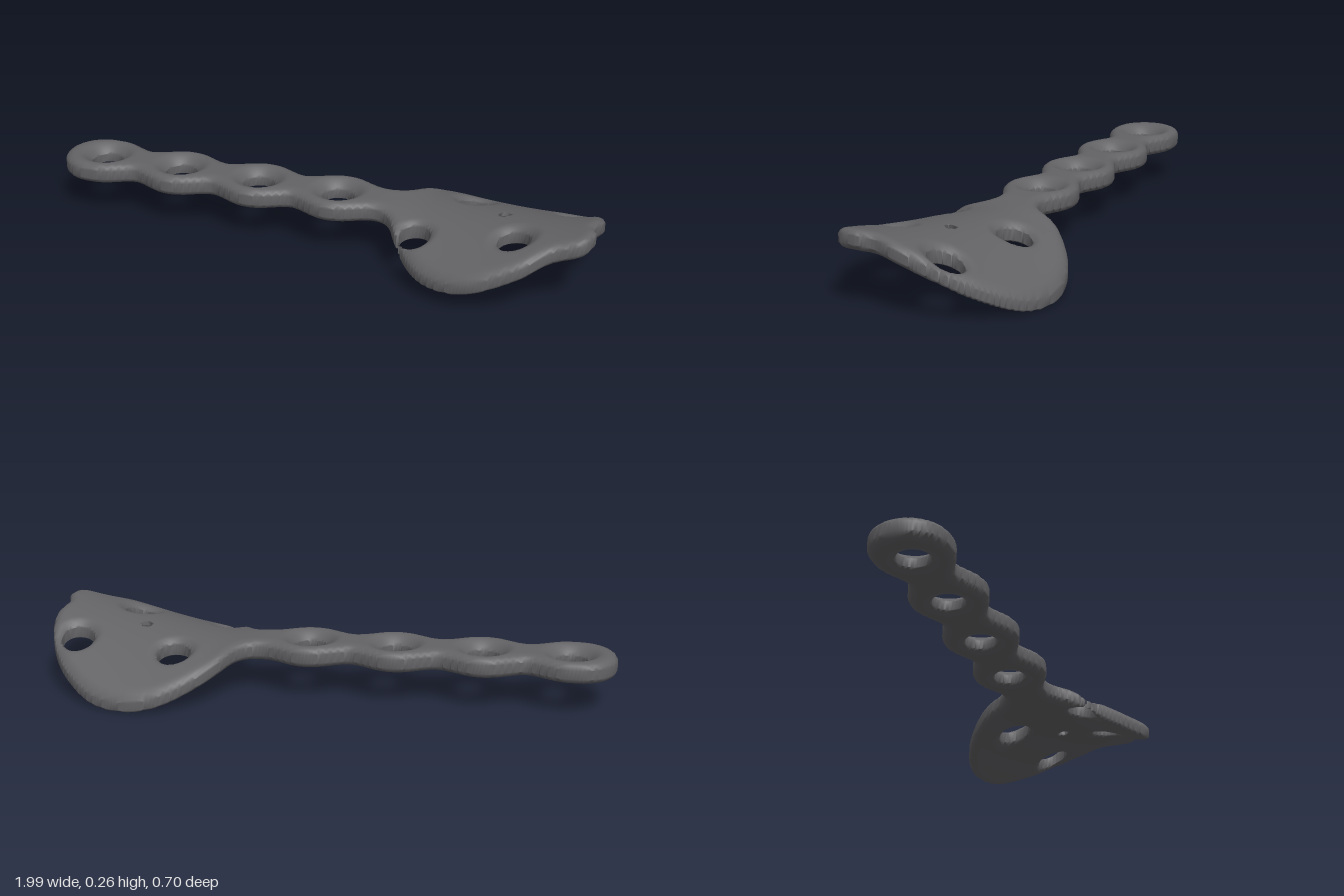
import * as THREE from 'three';
import { mergeVertices } from 'three/addons/utils/BufferGeometryUtils.js';

const clamp = (v, a = 0, b = 1) => Math.min(b, Math.max(a, v));
const smooth = (a, b, v) => { const t = clamp((v - a) / (b - a)); return t * t * (3 - 2 * t); };
const smin = (a, b, k) => { const h = Math.max(k - Math.abs(a - b), 0) / k; return Math.min(a, b) - h * h * k / 4; };

// Head outline, seen from above (x, z)
const outline = new THREE.SplineCurve([
  [0.28, -0.08], [0.35, -0.215], [0.48, -0.32], [0.62, -0.353], [0.78, -0.318], [0.91, -0.215],
  [0.975, -0.1], [0.99, 0], [0.975, 0.08], [0.99, 0.14], [0.965, 0.21], [0.87, 0.24],
  [0.78, 0.308], [0.62, 0.347], [0.46, 0.303], [0.345, 0.195], [0.28, 0.07], [0.28, -0.08],
].map(p => new THREE.Vector2(...p))).getPoints(110);

// Screw holes: x, z, radius, width and depth of the countersink
const stemX = [-0.845, -0.545, -0.24, 0.06];
const stemZ = -0.015;
const holes = [
  ...stemX.map(x => [x, stemZ, 0.055, 0.045, 0.035]),
  [0.52, -0.15, 0.058, 0.025, 0.02],
  [0.88, -0.11, 0.057, 0.025, 0.02],
  [0.393, 0.157, 0.052, 0.02, 0.015],
  [0.73, 0.16, 0.054, 0.03, 0.022],
];
const pin = [0.66, 0.0, 0.018];

// Signed distance to the head outline
function headDistance(x, z) {
  let best = Infinity, inside = false;
  for (let i = 0; i < outline.length - 1; i++) {
    const a = outline[i], b = outline[i + 1];
    const ex = b.x - a.x, ez = b.y - a.y, wx = x - a.x, wz = z - a.y;
    const t = clamp((wx * ex + wz * ez) / (ex * ex + ez * ez || 1));
    best = Math.min(best, Math.hypot(wx - ex * t, wz - ez * t));
    if ((a.y > z) !== (b.y > z) && x < a.x + ex * (z - a.y) / ez) inside = !inside;
  }
  return inside ? -best : best;
}

// Stem: a bar with a round lobe at each hole, blended into the head
function outerDistance(x, z) {
  const dz = z - stemZ;
  const bar = Math.hypot(x - clamp(x, -0.85, 0.5), dz) - 0.078;
  let lobes = Math.hypot(x + 0.87, dz) - 0.13;
  for (const c of stemX) lobes = Math.min(lobes, Math.hypot(x - c, dz) - 0.13);
  return smin(smin(bar, lobes, 0.06), headDistance(x, z), 0.07);
}

// Middle surface: flat stem, arched and twisted head
function middle(x, z) {
  const u = (x - 0.65) / 0.35;
  const head = 0.168 + 0.106 * z - 0.9 * z * z + (0.03 + 0.2 * z) * u + 0.012 * u * u;
  return THREE.MathUtils.lerp(0.157, head, smooth(0.2, 0.4, x));
}

// One sample of the plate: distance to its edge and the points above and below
function sample(x, z) {
  const outer = outerDistance(x, z);
  let d = Math.max(outer, pin[2] - Math.hypot(x - pin[0], z - pin[1]));
  for (const h of holes) d = Math.max(d, h[2] - Math.hypot(x - h[0], z - h[1]));
  return { x, z, d, outer };
}

function raise(p) {
  const { x, z } = p;
  const half = THREE.MathUtils.lerp(0.038, 0.034, smooth(0.2, 0.4, x));
  const k = 1 - clamp(-p.outer / 0.035);
  const round = half * (0.4 + 0.6 * Math.sqrt(1 - k * k));
  let up = round, down = round;
  for (const [hx, hz, r, w, depth] of holes) {
    const e = 1 - clamp((Math.hypot(x - hx, z - hz) - r) / w);
    up -= depth * e * (0.5 + 0.5 * e);
    down -= 0.012 * e * e;
  }
  up = Math.max(up, 0.004 - down);
  const y = middle(x, z);
  // the pin hole runs at a slant
  const q = Math.hypot(x - pin[0], z - pin[1]) / 0.05;
  const slant = 0.03 * Math.exp(-q * q);
  p.top = [x, y + up, z];
  p.bottom = [x - slant, y - down, z + slant * 0.5];
  return p;
}

function plateGeometry() {
  const step = 0.0125, nx = 164, nz = 60, x0 = -1.025, z0 = -0.3751;
  const grid = [], positions = [];
  for (let j = 0; j <= nz; j++)
    for (let i = 0; i <= nx; i++) grid.push(sample(x0 + i * step, z0 + j * step));

  const face = (a, b, c) => positions.push(...a, ...b, ...c);

  // Keep the part of a grid triangle inside the plate, then skin top, bottom and wall
  function addTriangle(tri) {
    if (tri.every(p => p.d >= 0)) return;
    const poly = [];
    tri.forEach((a, i) => {
      const b = tri[(i + 1) % 3];
      if (a.d < 0) poly.push(raise(a));
      if ((a.d < 0) !== (b.d < 0)) {
        // order the ends so that neighbours find the same crossing
        const [p, q] = a.d < 0 ? [a, b] : [b, a];
        const t = p.d / (p.d - q.d);
        const lerp = key => p[key] + (q[key] - p[key]) * t;
        poly.push(raise({ x: lerp('x'), z: lerp('z'), outer: lerp('outer'), d: 0, rim: true }));
      }
    });
    for (let i = 1; i < poly.length - 1; i++) {
      face(poly[0].top, poly[i].top, poly[i + 1].top);
      face(poly[0].bottom, poly[i + 1].bottom, poly[i].bottom);
    }
    poly.forEach((p, i) => {
      const q = poly[(i + 1) % poly.length];
      if (!p.rim || !q.rim) return;
      face(q.top, p.top, p.bottom);
      face(q.top, p.bottom, q.bottom);
    });
  }

  for (let j = 0; j < nz; j++)
    for (let i = 0; i < nx; i++) {
      const a = grid[j * (nx + 1) + i], b = grid[j * (nx + 1) + i + 1];
      const c = grid[(j + 1) * (nx + 1) + i], e = grid[(j + 1) * (nx + 1) + i + 1];
      addTriangle([a, c, b]);
      addTriangle([b, c, e]);
    }

  let geometry = new THREE.BufferGeometry();
  geometry.setAttribute('position', new THREE.Float32BufferAttribute(positions, 3));
  geometry = mergeVertices(geometry, 1e-4);
  geometry.computeVertexNormals();
  geometry.computeBoundingBox();
  geometry.translate(0, -geometry.boundingBox.min.y, 0);
  return geometry;
}

export function createModel() {
  const metal = new THREE.MeshStandardMaterial({ color: 0x636265 });
  metal.name = 'dark grey metal';
  const plate = new THREE.Mesh(plateGeometry(), metal);
  plate.name = 'perforatedPlate';
  const group = new THREE.Group();
  group.name = 'bonePlate';
  group.add(plate);
  return group;
}
